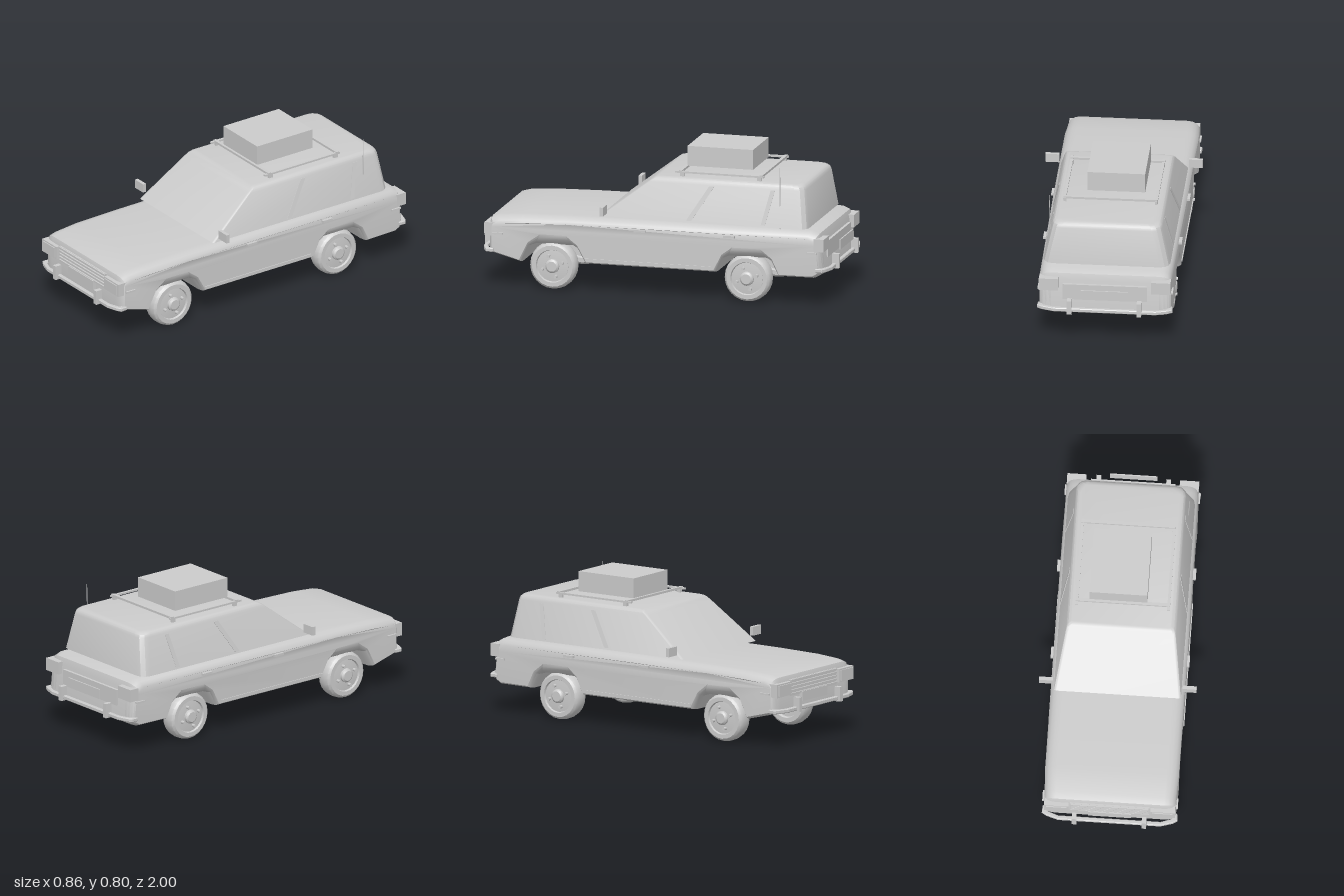
import * as THREE from 'three';
import { toCreasedNormals } from 'three/addons/utils/BufferGeometryUtils.js';

const mat = new THREE.MeshStandardMaterial({ color: 0xcccccc });

function add(parent, name, geo, x = 0, y = 0, z = 0) {
  const m = new THREE.Mesh(geo, mat);
  m.name = name;
  m.position.set(x, y, z);
  parent.add(m);
  return m;
}

// box given by its limits on each axis
function box(parent, name, [x0, x1], [y0, y1], [z0, z1]) {
  return add(parent, name, new THREE.BoxGeometry(Math.abs(x1 - x0), y1 - y0, Math.abs(z1 - z0)),
    (x0 + x1) / 2, (y0 + y1) / 2, (z0 + z1) / 2);
}

// closed solid through equal-length loops of [x, y, z]; capU and capV are the axes of the end caps
function loft(loops, capU, capV, crease) {
  const n = loops[0].length, idx = [];
  for (let i = 0; i < loops.length - 1; i++) for (let j = 0; j < n; j++) {
    const a = i * n + j, b = i * n + (j + 1) % n, c = b + n, d = a + n;
    idx.push(a, d, b, b, d, c);
  }
  [0, loops.length - 1].forEach((i) => {
    const pts = loops[i].map((p) => new THREE.Vector2(p[capU], p[capV]));
    const sign = Math.sign(THREE.ShapeUtils.area(pts)) * (i ? -1 : 1);
    for (const [a, b, c] of THREE.ShapeUtils.triangulateShape(pts.slice(), [])) {
      const s = THREE.ShapeUtils.area([pts[a], pts[b], pts[c]]);
      const t = s * sign > 0 ? [a, b, c] : [a, c, b];
      idx.push(...t.map((k) => k + i * n));
    }
  });
  const g = new THREE.BufferGeometry();
  g.setAttribute('position', new THREE.Float32BufferAttribute(loops.flat(2), 3));
  g.setIndex(idx);
  return toCreasedNormals(g, crease);
}

// lower body: side profile [z, y] in the middle, then [z, y] at the flanks
function bodyGeometry() {
  const p = [
    [0.94, 0.36, 0.92, 0.34], [0.93, 0.39, 0.91, 0.355], [0.89, 0.402, 0.87, 0.362], [0.75, 0.412, 0.75, 0.372],
    [0.5, 0.418, 0.5, 0.378], [0, 0.422, 0, 0.382], [-0.88, 0.422, -0.86, 0.382],
    [-0.92, 0.405, -0.9, 0.37], [-0.93, 0.37, -0.91, 0.345], [-0.945, 0.2, -0.925, 0.205],
    [-0.935, 0.18, -0.915, 0.19], [-0.9, 0.16, -0.89, 0.175], [-0.695, 0.16, -0.705, 0.175],
    [-0.655, 0.24, -0.665, 0.26], [-0.63, 0.25, -0.6, 0.31], [-0.41, 0.25, -0.44, 0.31],
    [-0.385, 0.24, -0.38, 0.265], [-0.345, 0.16, -0.335, 0.175],
    [0.395, 0.16, 0.385, 0.175], [0.44, 0.24, 0.435, 0.265], [0.465, 0.25, 0.5, 0.315],
    [0.68, 0.25, 0.645, 0.315], [0.71, 0.24, 0.715, 0.265], [0.755, 0.148, 0.765, 0.165], [0.94, 0.195, 0.92, 0.205],
  ];
  const half = [[0.3, 0], [0.325, 0.1], [0.345, 0.32], [0.358, 0.65], [0.365, 1]];
  const stations = [...half.map(([x, t]) => [-x, t]).reverse(), ...half];
  return loft(stations.map(([x, t]) => p.map(([z, y, zs, ys]) => {
    const w = Math.abs(z) > 0.86 ? 0.985 : 1;
    return [x * w, y + (ys - y) * t, z + (zs - z) * t];
  })), 2, 1, 0.55);
}

// greenhouse: rounded plan outlines [y, halfWidth, zFront, zRear] stacked upwards
function cabinGeometry() {
  const levels = [[0.43, 0.347, 0.32, -0.858], [0.635, 0.302, 0.053, -0.832],
    [0.65, 0.297, 0.033, -0.826], [0.66, 0.288, 0.018, -0.816], [0.665, 0.275, 0.003, -0.803]];
  return loft(levels.map(([y, w, zf, zr]) => {
    const loop = [];
    [[1, -1, 0.055], [1, 1, 0.014], [-1, 1, 0.014], [-1, -1, 0.055]].forEach(([sx, sz, r], q) => {
      for (let k = 0; k <= 3; k++) {
        const a = (q - 1 + k / 3) * Math.PI / 2;
        loop.push([sx * (w - r) + r * Math.cos(a), y, (sz > 0 ? zf - r : zr + r) + r * Math.sin(a)]);
      }
    });
    return loop;
  }), 0, 2, 0.45);
}

// thin strip lying on a cabin side, leaning from zBottom to zTop
function pillarGeometry(side, zBottom, zTop, width) {
  const g = new THREE.BoxGeometry(0.005, 0.19, width);
  const pos = g.attributes.position;
  for (let i = 0; i < pos.count; i++) {
    const t = pos.getY(i) / 0.19 + 0.5, y = 0.44 + 0.19 * t;
    const x = 0.347 - (y - 0.43) * 0.22;
    pos.setXYZ(i, side * x + pos.getX(i), y, pos.getZ(i) + zBottom + (zTop - zBottom) * t);
  }
  g.computeVertexNormals();
  return g;
}

// wheel with its outer face towards +x
function makeWheel() {
  const wheel = new THREE.Group();
  wheel.name = 'wheel';
  const prof = [[0, -0.03], [0.085, -0.03], [0.09, -0.047], [0.115, -0.047], [0.127, -0.036], [0.132, -0.015],
    [0.132, 0.015], [0.127, 0.036], [0.115, 0.047], [0.092, 0.047], [0.088, 0.036], [0.05, 0.04], [0, 0.04]];
  const lathe = (pts, seg) => toCreasedNormals(
    new THREE.LatheGeometry(pts.map(([r, h]) => new THREE.Vector2(r, h)), seg), 0.6).rotateZ(-Math.PI / 2);
  add(wheel, 'tyreAndRim', lathe(prof, 24));
  add(wheel, 'hubCap', lathe([[0.04, 0.035], [0.038, 0.052], [0.028, 0.06], [0, 0.06]], 16));
  for (let i = 0; i < 4; i++) {
    const a = 0.35 + i * Math.PI / 2;
    add(wheel, 'wheelNut', new THREE.CylinderGeometry(0.009, 0.009, 0.024, 8).rotateZ(Math.PI / 2),
      0.048, 0.06 * Math.cos(a), 0.06 * Math.sin(a));
  }
  return wheel;
}

// wrap-around bumper facing +z
function makeBumper(name) {
  const g = new THREE.Group();
  g.name = name;
  const outer = [[0.367, 0.91], [0.37, 0.95], [0.345, 0.965], [0.28, 0.985]];
  const inner = [[0.28, 0.963], [0.335, 0.943], [0.352, 0.91]];
  const right = [...outer, ...outer.map(([x, z]) => [-x, z]).reverse()];
  const back = [...inner.map(([x, z]) => [-x, z]).reverse(), ...inner];
  const shape = new THREE.Shape([...right, ...back].map(([x, z]) => new THREE.Vector2(x, z)));
  add(g, 'bumperBar', new THREE.ExtrudeGeometry(shape, {
    depth: 0.014, bevelThickness: 0.004, bevelSize: 0.004, bevelOffset: -0.004, bevelSegments: 1,
  }).rotateX(Math.PI / 2), 0, 0.217, 0);
  for (const s of [-1, 1]) box(g, 'overrider', [s * 0.178, s * 0.203], [0.192, 0.273], [0.962, 1]);
  return g;
}

export function createModel() {
  const car = new THREE.Group();
  car.name = 'estateCar';
  add(car, 'body', bodyGeometry());
  add(car, 'cabin', cabinGeometry());

  // front face
  box(car, 'grilleBack', [-0.217, 0.217], [0.277, 0.368], [0.925, 0.945]);
  for (let i = 0; i < 5; i++) {
    const y = 0.284 + i * 0.0185;
    box(car, 'grilleSlat', [-0.213, 0.213], [y, y + 0.009], [0.94, 0.954]);
  }
  box(car, 'frontPlate', [-0.117, 0.117], [0.237, 0.29], [0.935, 0.96]);

  // rear face
  box(car, 'tailgatePanel', [-0.23, 0.23], [0.26, 0.35], [-0.92, -0.947]);
  box(car, 'rearPlate', [-0.13, 0.13], [0.282, 0.337], [-0.983, -0.99]);

  const front = makeBumper('frontBumper'), rear = makeBumper('rearBumper');
  rear.rotation.y = Math.PI;
  car.add(front, rear);

  // mirrored parts
  for (const s of [-1, 1]) {
    const sx = (a, b) => [s * a, s * b];
    box(car, 'headlampSurround', sx(0.224, 0.357), [0.288, 0.362], [0.9, 0.962]);
    box(car, 'headlampLens', sx(0.234, 0.345), [0.296, 0.354], [0.95, 0.968]);
    box(car, 'tailLamp', sx(0.255, 0.36), [0.315, 0.385], [-0.9, -0.958]);
    box(car, 'wingMirror', sx(0.354, 0.43), [0.453, 0.502], [0.27, 0.29]);
    box(car, 'sillTrim', sx(0.355, 0.37), [0.186, 0.196], [-0.32, 0.39]);
    for (const z of [0.08, -0.425])
      box(car, 'doorHandle', sx(0.355, 0.379), [0.364, 0.377], [z - 0.032, z + 0.032]);
    for (const z of [0.885, -0.89])
      box(car, 'sideMarker', sx(0.345, 0.37), [0.3, 0.31], [z - 0.03, z + 0.03]);
    add(car, 'middlePillar', pillarGeometry(s, -0.19, -0.31, 0.03));
    add(car, 'rearPillar', pillarGeometry(s, -0.61, -0.655, 0.025));
    for (const z of [0.582, -0.518]) {
      const w = makeWheel();
      w.position.set(s * 0.298, 0.136, z);
      if (s < 0) w.rotation.y = Math.PI;
      car.add(w);
    }
    // roof rack side
    box(car, 'rackSideRail', sx(0.243, 0.258), [0.683, 0.693], [-0.59, -0.09]);
    for (const z of [-0.13, -0.565])
      box(car, 'rackFoot', sx(0.242, 0.257), [0.655, 0.688], [z - 0.012, z + 0.012]);
  }
  for (const z of [-0.12, -0.575])
    box(car, 'rackCrossBar', [-0.258, 0.258], [0.686, 0.698], [z - 0.009, z + 0.009]);
  box(car, 'roofBox', [-0.182, 0.134], [0.696, 0.807], [-0.495, -0.125]);

  // aerial
  const aerial = add(car, 'aerial', new THREE.CylinderGeometry(0.002, 0.003, 0.345, 6), 0.32, 0.59, -0.7);
  aerial.rotation.z = -0.026;
  return car;
}
